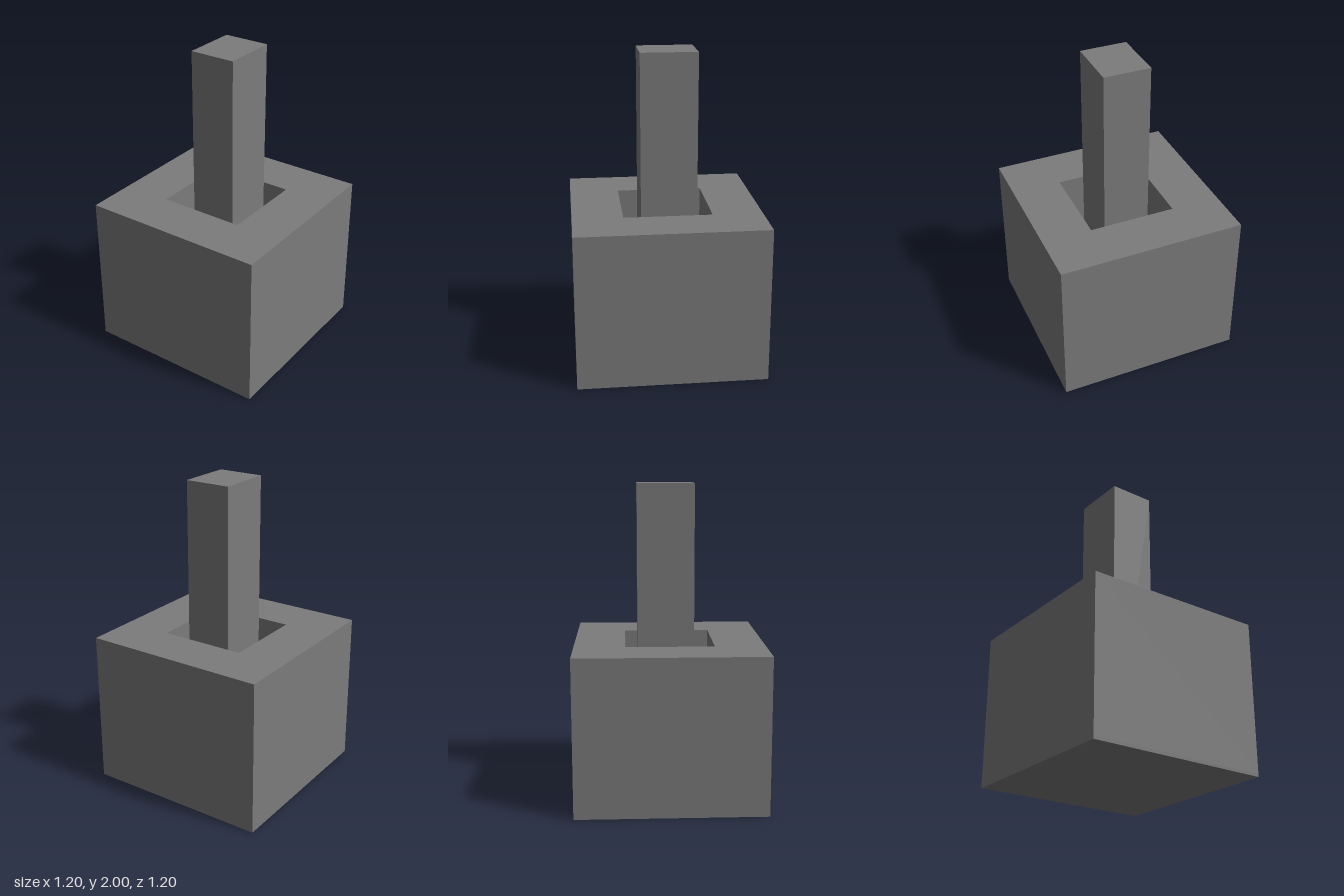
import * as THREE from 'three';

const HALF = 0.6, HOLE = 0.28, FLOOR = 0.02;

export function createModel() {
  const model = new THREE.Group();
  model.name = 'pegInBlock';
  const grey = new THREE.MeshStandardMaterial({ color: 0x7c7c7c });
  grey.name = 'grey';

  const add = (name, geometry, x, y, z) => {
    const mesh = new THREE.Mesh(geometry, grey);
    mesh.name = name;
    mesh.position.set(x, y, z);
    model.add(mesh);
  };

  // Square outline centred on the origin
  const square = (path, h) => {
    path.moveTo(-h, -h).lineTo(h, -h).lineTo(h, h).lineTo(-h, h).closePath();
    return path;
  };

  // Block walls around the square socket
  const outline = square(new THREE.Shape(), HALF);
  outline.holes.push(square(new THREE.Path(), HOLE));
  const walls = new THREE.ExtrudeGeometry(outline, { depth: 1 - FLOOR, bevelEnabled: false });
  walls.rotateX(-Math.PI / 2);
  add('block', walls, 0, FLOOR, 0);

  // Closed underside, which is also the socket floor
  add('socketFloor', new THREE.BoxGeometry(2 * HALF, FLOOR, 2 * HALF), 0, FLOOR / 2, 0);

  // Loose-fitting peg, slightly off centre
  add('peg', new THREE.BoxGeometry(0.36, 2 - FLOOR, 0.3), 0.02, 1 + FLOOR / 2, 0.007);

  return model;
}
